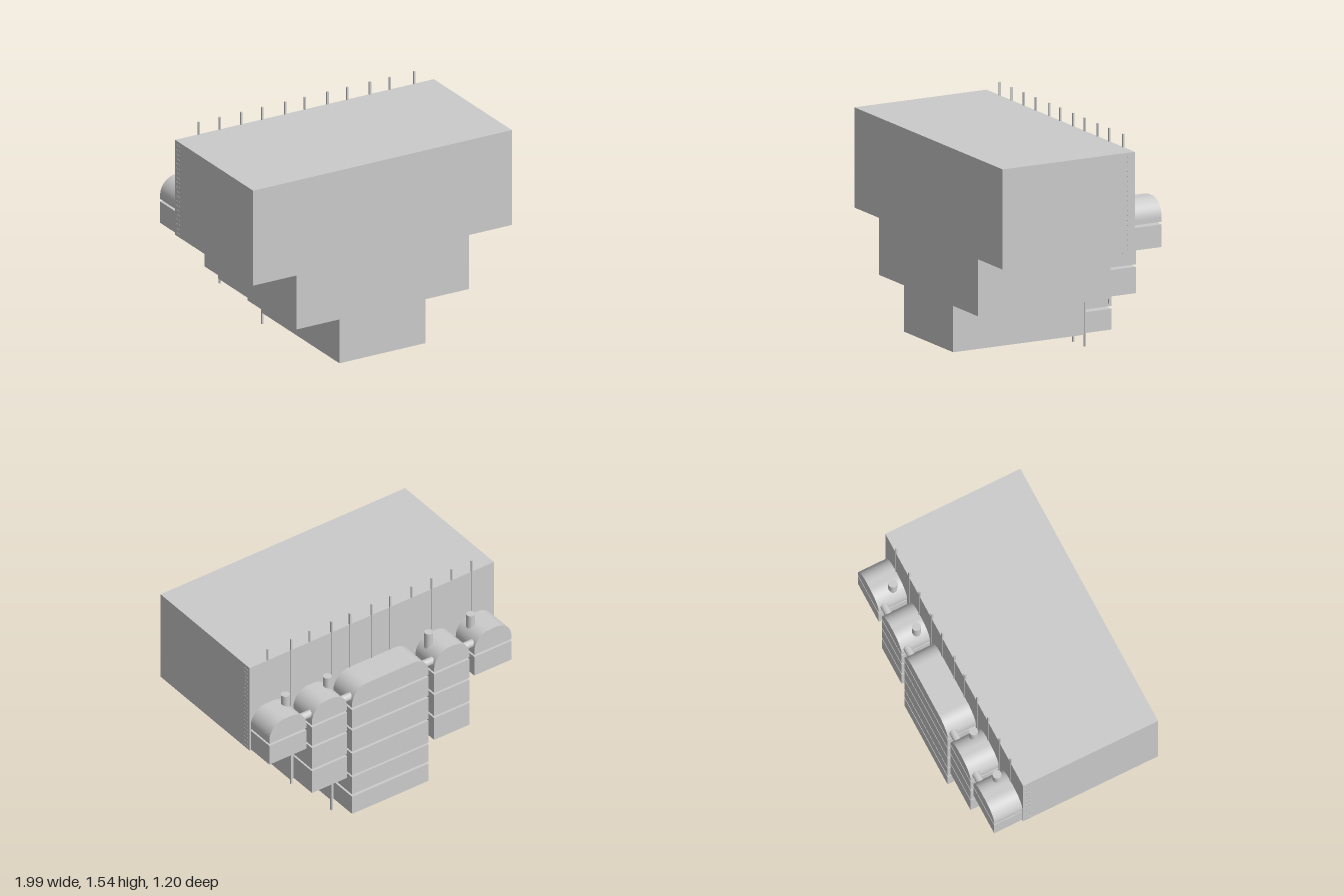
import * as THREE from 'three';

const grey = new THREE.MeshStandardMaterial({ color: 0xcccccc });
const BACK = -0.396, REAR = -0.604;

function add(parent, name, geometry, x = 0, y = 0, z = 0) {
  const mesh = new THREE.Mesh(geometry, grey);
  mesh.name = name;
  mesh.position.set(x, y, z);
  parent.add(mesh);
  return mesh;
}

// Outline in x/y pushed along z from z0 to z1
function slab(shape, z0, z1) {
  return new THREE.ExtrudeGeometry(shape, { depth: z1 - z0, bevelEnabled: false, curveSegments: 12 })
    .translate(0, 0, z0);
}

// Block with two large rounded top corners
function capShape(w, y0, y1) {
  const r = 0.125, h = w / 2, s = new THREE.Shape();
  s.moveTo(-h, y0);
  s.lineTo(h, y0);
  s.lineTo(h, y1 - r);
  s.absarc(h - r, y1 - r, r, 0, Math.PI / 2, false);
  s.lineTo(-h + r, y1);
  s.absarc(-h + r, y1 - r, r, Math.PI / 2, Math.PI, false);
  s.closePath();
  return s;
}

export function createModel() {
  const model = new THREE.Group();
  model.name = 'steppedHousing';

  // Stepped main body
  const half = [[0.33, 0.08], [0.33, 0.393], [0.66, 0.393], [0.66, 0.778], [0.99, 0.778], [0.99, 1.455]];
  const outline = [...half, ...half.map(([x, y]) => [-x, y]).reverse()];
  add(model, 'body', slab(new THREE.Shape(outline.map(p => new THREE.Vector2(...p))), BACK, 0.6));

  // Thin support rods running up the back wall
  const rods = new THREE.Group();
  rods.name = 'rods';
  model.add(rods);
  for (const x of [-0.81, -0.65, -0.486, -0.326, -0.15, 0, 0.175, 0.325, 0.5, 0.652, 0.84]) {
    const a = Math.abs(x), y0 = a > 0.7 ? 0.735 : a > 0.4 ? 0.36 : 0;
    add(rods, 'rod', new THREE.BoxGeometry(0.012, 1.545 - y0, 0.013), x, (1.545 + y0) / 2, -0.3935);
  }

  // Rear modules: a rounded cap over stacked blocks, one stack per column
  const tiers = [[0.955, 1.108], [0.785, 0.938], [0.595, 0.768], [0.4, 0.578], [0.245, 0.385], [0.085, 0.226]];
  const columns = [[-0.83, 0.3, 2], [-0.4975, 0.285, 4], [0, 0.62, 6], [0.4925, 0.285, 4], [0.83, 0.3, 2]];
  for (const [x, w, count] of columns) {
    const stack = new THREE.Group();
    stack.name = 'moduleStack';
    stack.position.x = x;
    model.add(stack);
    tiers.slice(0, count).forEach(([y0, y1], i) => {
      if (i === 0) add(stack, 'roundedCap', slab(capShape(w, y0, y1), REAR, BACK));
      else {
        add(stack, 'block', new THREE.BoxGeometry(w, y1 - y0, BACK - REAR), 0, (y0 + y1) / 2, (BACK + REAR) / 2);
        // Short neck joining the block to the one above
        const gap = tiers[i - 1][0] - y1;
        add(stack, 'neck', new THREE.CylinderGeometry(0.045, 0.045, gap + 0.01, 20), 0, y1 + gap / 2, -0.505);
      }
    });
  }

  for (const side of [-1, 1]) {
    // Vertical pipes through the outer stacks
    for (const [x, y0] of [[0.75, 0.747], [0.41, 0.37]])
      add(model, 'verticalPipe', new THREE.CylinderGeometry(0.03, 0.03, 1.178 - y0, 24), side * x, (1.178 + y0) / 2, -0.465);

    // Horizontal pipes linking neighbouring stacks
    for (const x of [0.332, 0.658])
      add(model, 'linkPipe', new THREE.CylinderGeometry(0.027, 0.027, 0.08, 20).rotateZ(Math.PI / 2), side * x, 1.02, -0.56);

    // Two columns of small rivets on each side wall
    for (const z of [-0.37, -0.345])
      for (let i = 0; i < 20; i++)
        add(model, 'rivet', new THREE.BoxGeometry(0.006, 0.006, 0.006), side * 0.99, 0.8 + i * 0.033, z);
  }
  return model;
}
